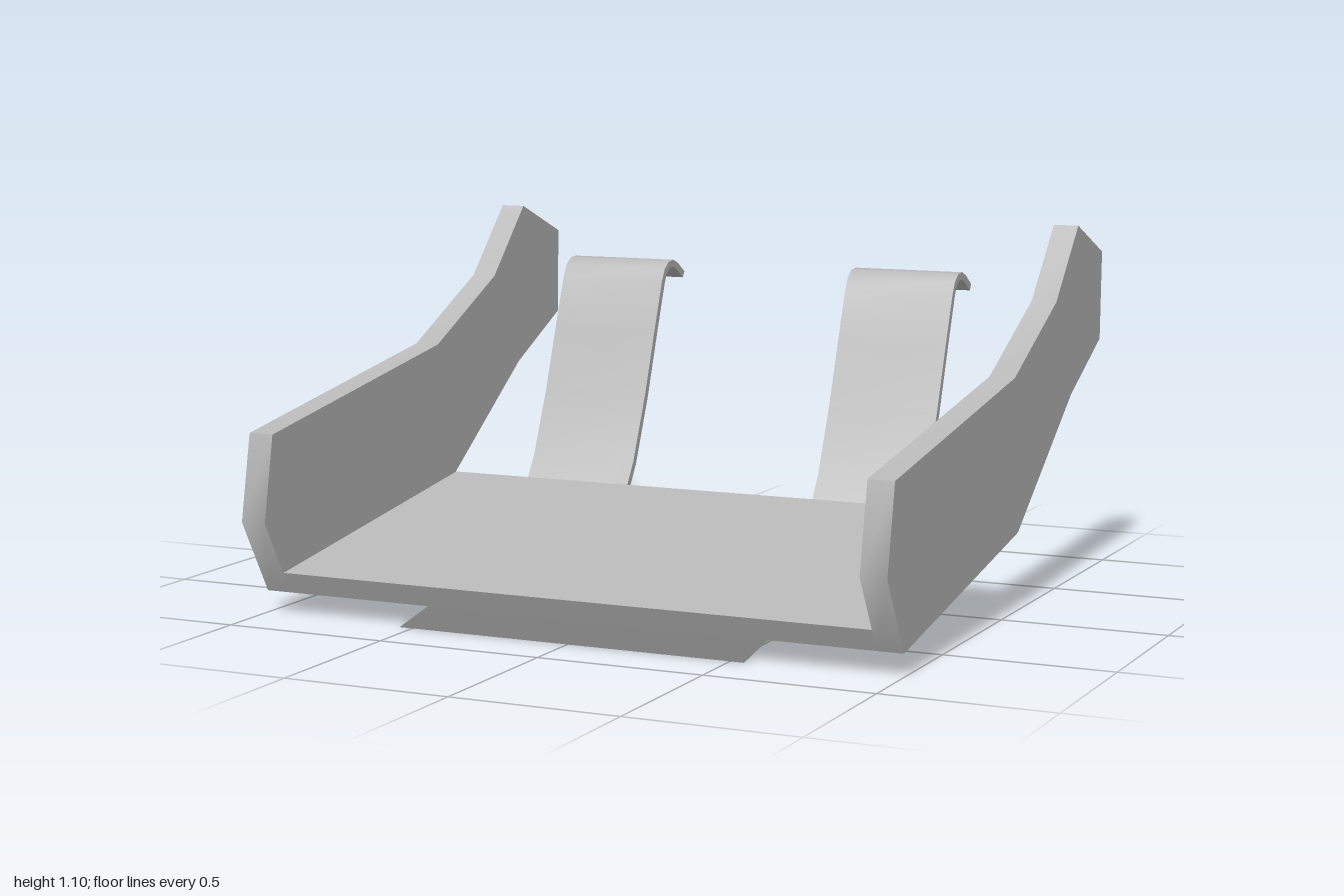
import * as THREE from 'three';
import { toCreasedNormals } from 'three/addons/utils/BufferGeometryUtils.js';

const lightGrey = new THREE.MeshStandardMaterial({ color: 0xb8b8b8 });
lightGrey.name = 'light grey';
const darkGrey = new THREE.MeshStandardMaterial({ color: 0x787878, side: THREE.DoubleSide });
darkGrey.name = 'dark grey';

// Side outline in [z, y], extruded from x0 to x1
function slab(name, outline, x0, x1) {
  const shape = new THREE.Shape(outline.map(([z, y]) => new THREE.Vector2(-z, y)));
  const geo = new THREE.ExtrudeGeometry(shape, { depth: x1 - x0, bevelEnabled: false });
  geo.rotateY(Math.PI / 2);
  geo.translate(x0, 0, 0);
  const mesh = new THREE.Mesh(toCreasedNormals(geo, 1.1), lightGrey);
  mesh.name = name;
  return mesh;
}

// Closed outline of a bent strip of even thickness around a centre line
function stripOutline(path, thickness) {
  const pts = path.map(([z, y]) => new THREE.Vector2(z, y));
  const front = [], back = [];
  pts.forEach((p, i) => {
    const a = pts[Math.max(i - 1, 0)], b = pts[Math.min(i + 1, pts.length - 1)];
    const t = b.clone().sub(a).normalize().multiplyScalar(thickness / 2);
    front.push([p.x + t.y, p.y - t.x]);
    back.unshift([p.x - t.y, p.y + t.x]);
  });
  return [...front, ...back];
}

export function createModel() {
  const model = new THREE.Group();
  model.name = 'tray';

  const panel = [
    [0.88, 0.545], [0.93, 0.29], [0.80, 0.065], [-0.14, 0.235], [-0.635, 0.585],
    [-0.92, 0.725], [-0.928, 1.0], [-0.675, 1.1], [-0.47, 0.885], [-0.09, 0.70],
  ];
  // Tongue: foot under the tray, bowed rise, rounded lip falling to the back
  const tongue = stripOutline([
    [-0.13, 0.17], [-0.212, 0.25], [-0.267, 0.335], [-0.355, 0.54], [-0.43, 0.75],
    [-0.482, 0.89], [-0.5, 0.922], [-0.525, 0.94], [-0.555, 0.943], [-0.585, 0.932], [-0.635, 0.9],
  ], 0.022);

  for (const side of [1, -1]) {
    const label = side > 0 ? 'left' : 'right';
    const span = (a, b) => (side > 0 ? [a, b] : [-b, -a]);
    model.add(slab(label + 'SidePanel', panel, ...span(0.922, 1)));
    model.add(slab(label + 'Tongue', tongue, ...span(0.315, 0.668)));
  }

  // Sloping floor between the panels
  model.add(slab('trayFloor', [[0.80, 0.065], [0.836, 0.13], [-0.2, 0.275], [-0.14, 0.235]], -0.922, 0.922));

  // Thin sheet under the floor
  const front = [0.82, 0], rear = [-0.23, 0.19];
  const dz = front[0] - rear[0], dy = rear[1] - front[1];
  const sheet = new THREE.Mesh(new THREE.PlaneGeometry(1.084, Math.hypot(dz, dy)), darkGrey);
  sheet.name = 'underSheet';
  sheet.rotation.x = -Math.PI / 2 + Math.atan2(dy, dz);
  sheet.position.set(0, (front[1] + rear[1]) / 2, (front[0] + rear[0]) / 2);
  model.add(sheet);

  return model;
}
